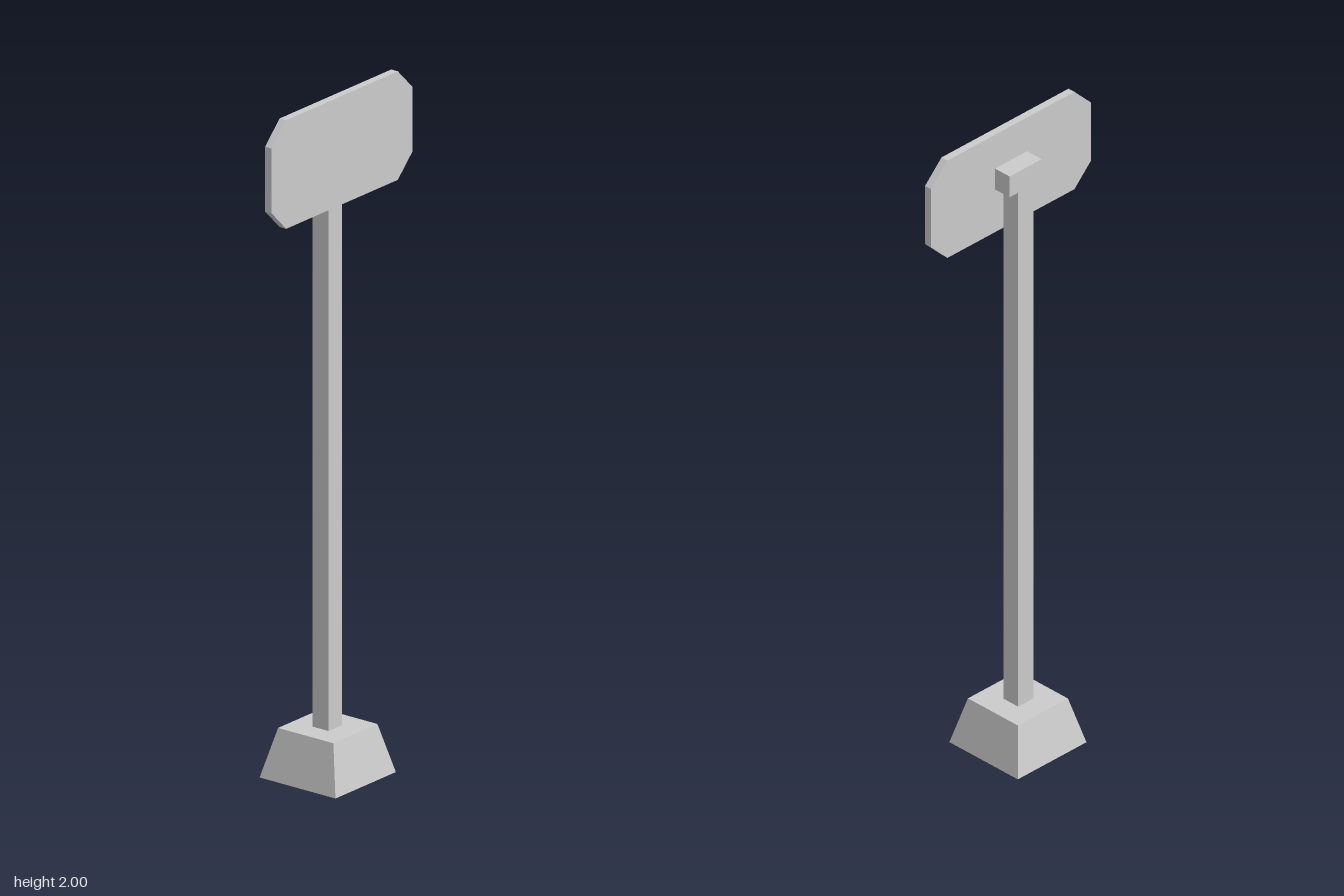
import * as THREE from 'three';

const grey = new THREE.MeshStandardMaterial({ color: 0xcccccc, flatShading: true });
const greyThin = new THREE.MeshStandardMaterial({ color: 0xcccccc, flatShading: true, side: THREE.DoubleSide });

function addMesh(group, name, geometry, material = grey) {
  const mesh = new THREE.Mesh(geometry, material);
  mesh.name = name;
  group.add(mesh);
  return mesh;
}

// Box given by its lower and upper limits
function boxBetween(x0, x1, y0, y1, z0, z1) {
  return new THREE.BoxGeometry(x1 - x0, y1 - y0, z1 - z0)
    .translate((x0 + x1) / 2, (y0 + y1) / 2, (z0 + z1) / 2);
}

export function createModel() {
  const model = new THREE.Group();
  model.name = 'signpost';

  // Tapered square foot: hollow shell, open underneath
  const baseHeight = 0.143, bottomHalf = 0.133, topHalf = 0.097;
  const shell = new THREE.CylinderGeometry(topHalf * Math.SQRT2, bottomHalf * Math.SQRT2, baseHeight, 4, 1, true)
    .rotateY(Math.PI / 4).translate(0, baseHeight / 2, 0);
  addMesh(model, 'baseSides', shell, greyThin);
  const lid = new THREE.PlaneGeometry(topHalf * 2, topHalf * 2)
    .rotateX(-Math.PI / 2).translate(0, baseHeight, 0);
  addMesh(model, 'baseTop', lid, greyThin);

  // Square post
  addMesh(model, 'post', boxBetween(-0.03, 0.029, baseHeight, 1.822, -0.03, 0.027));

  // Bracket block capping the post behind the panel
  addMesh(model, 'bracket', boxBetween(-0.062, 0.062, 1.822, 1.89, -0.03, 0.027));

  // Sign panel with cut corners
  const w = 0.31, h = 0.159, cut = 0.064;
  const outline = new THREE.Shape([
    [-w + cut, -h], [w - cut, -h], [w, -h + cut], [w, h - cut],
    [w - cut, h], [-w + cut, h], [-w, h - cut], [-w, -h + cut],
  ].map(([x, y]) => new THREE.Vector2(x, y)));
  const panel = new THREE.ExtrudeGeometry(outline, { depth: 0.023, bevelEnabled: false });
  addMesh(model, 'signPanel', panel).position.set(0, 2 - h, 0.027);

  return model;
}
